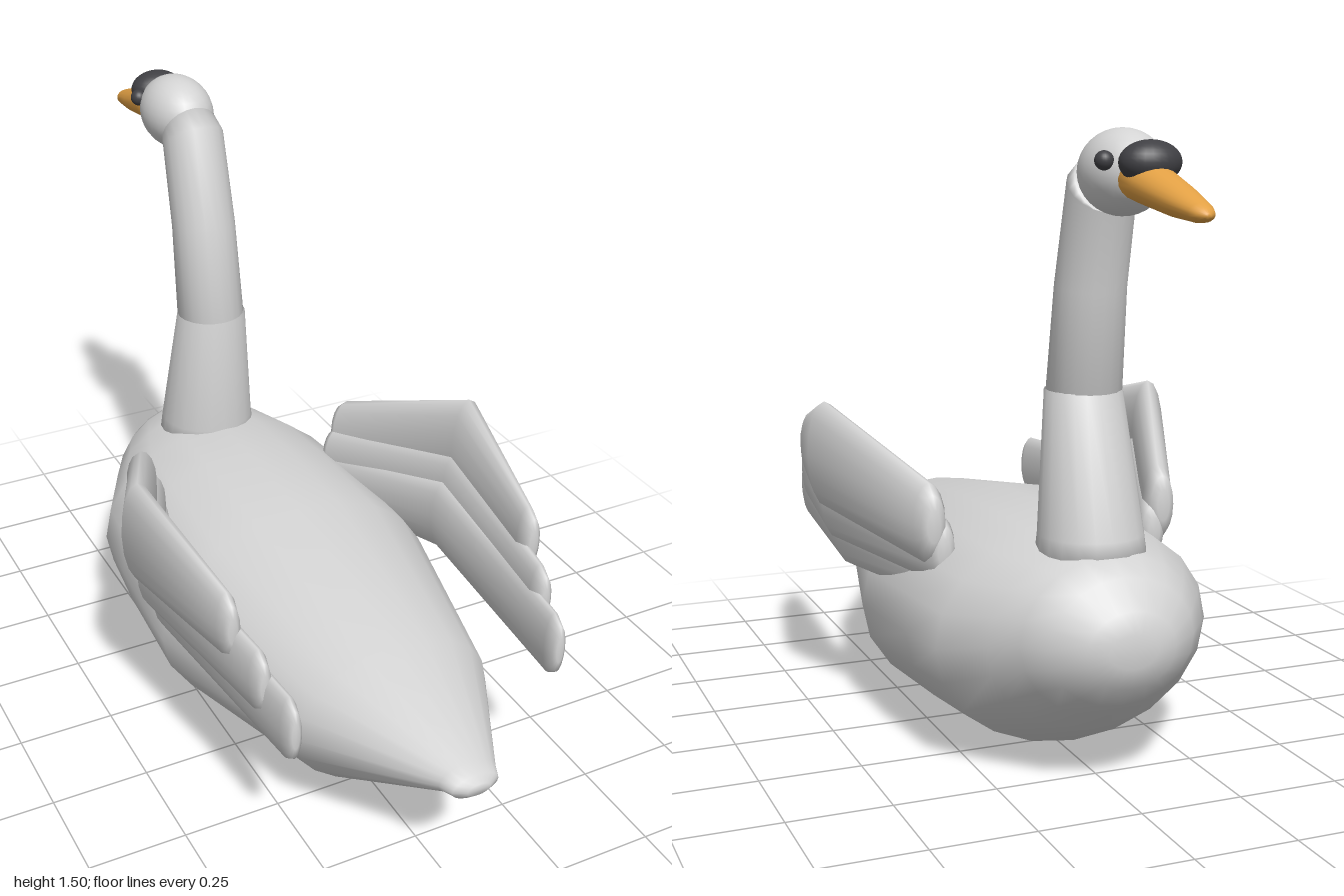
import * as THREE from 'three';

const mat = (name, color) => {
  const m = new THREE.MeshStandardMaterial({ color });
  m.name = name;
  return m;
};

// Closed loft through elliptical rings [x, y, z, rx, ry, tilt in degrees about x]
function loft(rings, sides = 20) {
  const pos = [], idx = [];
  for (const [x, y, z, rx, ry, tilt = 0] of rings) {
    const t = THREE.MathUtils.degToRad(tilt);
    for (let j = 0; j < sides; j++) {
      const a = (j / sides) * Math.PI * 2;
      const v = Math.sin(a) * ry;
      pos.push(x + Math.cos(a) * rx, y + v * Math.cos(t), z + v * Math.sin(t));
    }
  }
  for (let i = 0; i < rings.length - 1; i++) {
    for (let j = 0; j < sides; j++) {
      const k = (j + 1) % sides;
      const a = i * sides + j, b = i * sides + k, c = a + sides, d = b + sides;
      idx.push(a, b, c, b, d, c);
    }
  }
  // end caps
  const last = (rings.length - 1) * sides, p = rings.length * sides;
  pos.push(...rings[0].slice(0, 3), ...rings[rings.length - 1].slice(0, 3));
  for (let j = 0; j < sides; j++) {
    const k = (j + 1) % sides;
    idx.push(p, k, j, p + 1, last + j, last + k);
  }
  const g = new THREE.BufferGeometry();
  g.setAttribute('position', new THREE.Float32BufferAttribute(pos, 3));
  g.setIndex(idx);
  g.computeVertexNormals();
  return g;
}

export function createModel() {
  const model = new THREE.Group();
  const plumage = mat('plumage grey', 0xd4d4d4);
  const orange = mat('bill orange', 0xe3a145);
  const dark = mat('dark grey', 0x404044);

  const add = (name, geometry, material, parent = model) => {
    const mesh = new THREE.Mesh(geometry, material);
    mesh.name = name;
    parent.add(mesh);
    return mesh;
  };
  const ball = (name, material, x, y, z, rx, ry, rz) => {
    const m = add(name, new THREE.SphereGeometry(1, 24, 16), material);
    m.position.set(x, y, z);
    m.scale.set(rx, ry, rz);
    return m;
  };

  // Body, from breast to pointed tail
  add('body', loft([
    [0, 0.36, -0.703, 0.06, 0.04],
    [0, 0.36, -0.69, 0.11, 0.09],
    [0, 0.365, -0.64, 0.18, 0.15],
    [0, 0.363, -0.58, 0.225, 0.19],
    [0, 0.343, -0.5, 0.275, 0.225],
    [0, 0.308, -0.37, 0.352, 0.272],
    [0, 0.302, -0.2, 0.37, 0.284],
    [0, 0.288, 0.11, 0.385, 0.288],
    [0, 0.3, 0.62, 0.26, 0.19],
    [0, 0.352, 0.95, 0.075, 0.037],
    [0, 0.352, 0.985, 0.06, 0.03],
    [0, 0.352, 1.0, 0.03, 0.015],
  ]), plumage);

  // Neck in two lengths, the upper one curling forward
  add('lowerNeck', loft([
    [0, 0.5, -0.463, 0.135, 0.135, -90],
    [0, 0.58, -0.46, 0.125, 0.125, -90],
    [0, 0.91, -0.414, 0.092, 0.09, -90],
  ]), plumage);
  add('upperNeck', loft([
    [0, 0.88, -0.414, 0.09, 0.088, -90],
    [0, 1.15, -0.45, 0.084, 0.081, -98],
    [0, 1.37, -0.505, 0.08, 0.086, -126],
    [0, 1.385, -0.53, 0.075, 0.08, -151],
  ]), plumage);

  // Head, bill and eyes
  ball('head', plumage, 0, 1.41, -0.61, 0.092, 0.095, 0.125);
  ball('billKnob', dark, 0, 1.434, -0.745, 0.07, 0.047, 0.053);
  add('bill', loft([
    [0, 1.4, -0.7, 0.056, 0.048, 166],
    [0, 1.386, -0.765, 0.055, 0.044, 166],
    [0, 1.36, -0.88, 0.045, 0.034, 166],
    [0, 1.341, -0.97, 0.03, 0.021, 166],
    [0, 1.337, -0.99, 0.022, 0.015, 166],
    [0, 1.335, -1.0, 0.008, 0.006, 166],
  ]), orange);
  for (const s of [1, -1]) {
    ball(s > 0 ? 'leftEye' : 'rightEye', dark, s * 0.077, 1.437, -0.683, 0.021, 0.021, 0.021);
  }

  // Wings: three bent feather slabs each, as [x, y, z, rx, ry] at front, bend and rear
  const feathers = [
    ['upperFeather', [0.305, 0.565, -0.225, 0.042, 0.1], [0.458, 0.678, 0.175, 0.046, 0.137], [0.4, 0.633, 0.58, 0.028, 0.088]],
    ['middleFeather', [0.28, 0.5, -0.225, 0.04, 0.085], [0.43, 0.56, 0.175, 0.04, 0.105], [0.372, 0.54, 0.685, 0.026, 0.085]],
    ['lowerFeather', [0.265, 0.44, -0.22, 0.035, 0.075], [0.397, 0.485, 0.175, 0.036, 0.102], [0.348, 0.472, 0.79, 0.024, 0.088]],
  ];
  for (const s of [1, -1]) {
    const wing = new THREE.Group();
    wing.name = s > 0 ? 'leftWing' : 'rightWing';
    for (const [name, front, bend, rear] of feathers) {
      // rounded end, stepping inward from the tip
      const end = ([x, y, z, rx, ry], dz, k) => [s * x, y, z + dz, rx * k, ry * k];
      add(name, loft([
        end(front, -0.008, 0.4), end(front, 0, 0.75), end(front, 0.03, 1),
        end(bend, 0, 1),
        end(rear, -0.035, 1), end(rear, -0.006, 0.75), end(rear, 0, 0.4),
      ], 16), plumage, wing);
    }
    model.add(wing);
  }
  return model;
}
